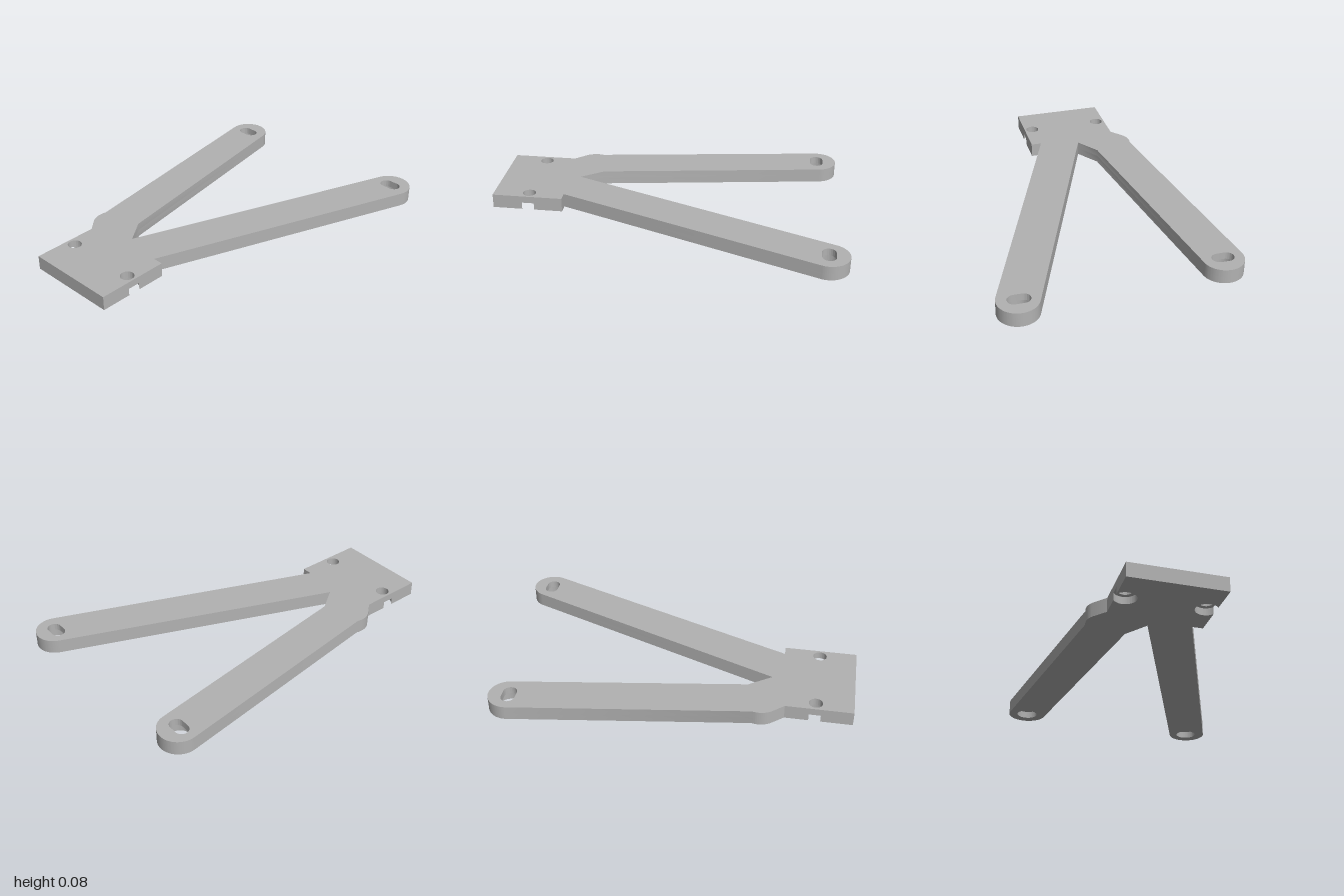
import * as THREE from 'three';
import { toCreasedNormals } from 'three/addons/utils/BufferGeometryUtils.js';

const HALF = 0.04;     // thickness of each of the two layers
const BORE = 0.06;     // counterbore radius
const HOLE = 0.0375;   // screw hole radius
const END = 0.11;      // rounded arm end radius

// Plan positions, drawn with y towards the back
const screws = [[-0.335, -0.797], [0.085, -0.797]];
const slots = [[-0.54, 0.827], [0.535, 0.89]];
const PLATE_L = -0.386, PLATE_R = 0.134;

// Outline of the forked bracket; the lower layer's bores break through the plate edges
function outline(notched) {
  const s = new THREE.Shape();
  s.moveTo(PLATE_L, -1);
  s.lineTo(PLATE_R, -1);
  if (notched) {
    const [x, y] = screws[1];
    const a = Math.acos((PLATE_R - x) / BORE);
    s.absarc(x, y, BORE, -a, a, true);
  }
  s.lineTo(PLATE_R, -0.6);
  s.lineTo(0.075, -0.6);
  // long arm
  const a1 = -0.372;
  s.absarc(0.54, 0.89, END, a1, a1 + Math.PI, false);
  s.lineTo(-0.15, -0.55);
  s.lineTo(-0.237, -0.425);
  // short arm
  const a2 = 0.148;
  s.absarc(-0.54, 0.83, END, a2, a2 + Math.PI, false);
  // rounded elbow back to the plate
  s.absarc(-0.355, -0.505, END, Math.PI - 0.3, Math.PI + 0.62, false);
  s.lineTo(PLATE_L, -0.637);
  if (notched) {
    const [x, y] = screws[0];
    const a = Math.acos((x - PLATE_L) / BORE);
    s.absarc(x, y, BORE, Math.PI - a, Math.PI + a, true);
  }
  s.closePath();
  return s;
}

function roundHole([x, y], r) {
  const p = new THREE.Path();
  p.absarc(x, y, r, 0, Math.PI * 2, true);
  return p;
}

function slotHole([x, y]) {
  const p = new THREE.Path(), d = BORE - HOLE;
  p.absarc(x + d, y, HOLE, Math.PI / 2, -Math.PI / 2, true);
  p.absarc(x - d, y, HOLE, -Math.PI / 2, -Math.PI * 1.5, true);
  p.closePath();
  return p;
}

function layer(name, shape, y, material) {
  const geo = new THREE.ExtrudeGeometry(shape, { depth: HALF, bevelEnabled: false, curveSegments: 32 });
  geo.rotateX(-Math.PI / 2);
  geo.translate(0, y, 0);
  const mesh = new THREE.Mesh(toCreasedNormals(geo, 0.5), material);
  mesh.name = name;
  return mesh;
}

export function createModel() {
  const grey = new THREE.MeshStandardMaterial({ color: 0xb2b2b2 });
  grey.name = 'plain grey';

  // lower layer: round counterbores
  const lower = outline(true);
  slots.forEach(c => lower.holes.push(roundHole(c, BORE)));

  // upper layer: screw holes and slots
  const upper = outline(false);
  screws.forEach(c => upper.holes.push(roundHole(c, HOLE)));
  slots.forEach(c => upper.holes.push(slotHole(c)));

  const model = new THREE.Group();
  model.name = 'forkedBracket';
  model.add(layer('counterboredLowerLayer', lower, 0, grey));
  model.add(layer('slottedUpperLayer', upper, HALF, grey));
  return model;
}
